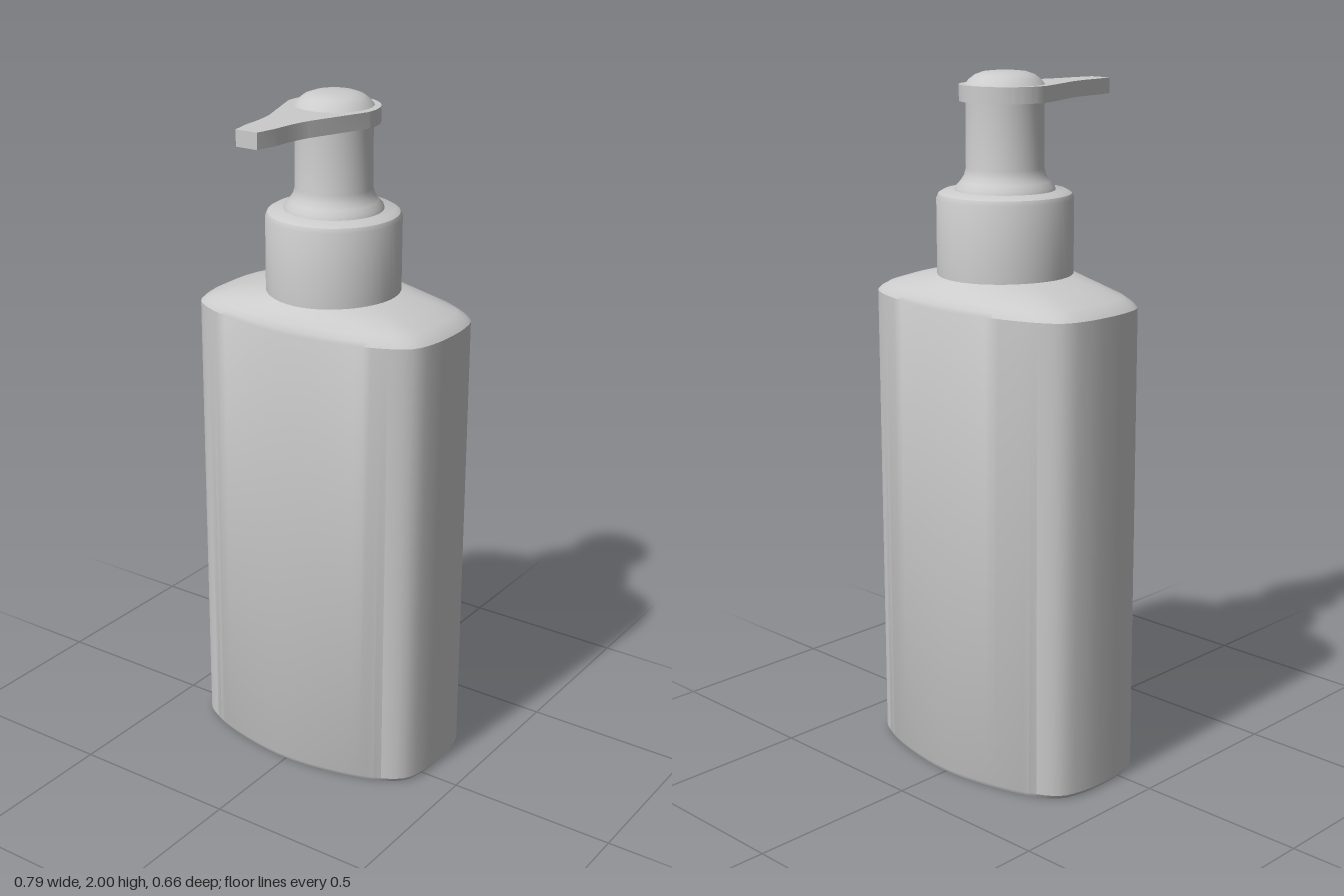
import * as THREE from 'three';
import { toCreasedNormals } from 'three/addons/utils/BufferGeometryUtils.js';

const AXIS_X = 0.007, AXIS_Z = -0.066; // pump axis
const BODY_Z = -0.077;                 // bottle centre

function createMesh(name, geometry, crease = 0.5) {
  const material = new THREE.MeshStandardMaterial({ color: 0xcccccc });
  const mesh = new THREE.Mesh(toCreasedNormals(geometry, crease), material);
  mesh.name = name;
  return mesh;
}

// Rounded bottle outline, mirrored from one quarter
function bodyOutline(count) {
  const q = [[0.394, 0], [0.389, 0.077], [0.367, 0.146], [0.307, 0.19], [0.157, 0.235], [0, 0.253]];
  const half = [...q, ...q.slice(0, -1).reverse().map(([x, z]) => [-x, z])];
  const all = [...half, ...half.slice(1, -1).reverse().map(([x, z]) => [x, -z])];
  const curve = new THREE.CatmullRomCurve3(all.map(([x, z]) => new THREE.Vector3(x, 0, z)), true);
  return curve.getSpacedPoints(count).slice(0, count);
}

// Loft from the outline to the round neck; rows are [y, scale, blend to neck]
function bodyGeometry() {
  const count = 96, neckRadius = 0.185;
  const outline = bodyOutline(count);
  const rows = [[0, 0.978, 0], [0.012, 1, 0], [1.37, 1, 0], [1.382, 1, 0.06],
    [1.397, 1, 0.19], [1.418, 1, 0.5], [1.434, 1, 0.8], [1.442, 1, 1]];
  const positions = [], index = [];
  for (const [y, scale, blend] of rows) {
    for (const p of outline) {
      const angle = Math.atan2(p.z, p.x);
      const neckX = AXIS_X + neckRadius * Math.cos(angle);
      const neckZ = AXIS_Z + neckRadius * Math.sin(angle);
      positions.push(THREE.MathUtils.lerp(p.x * scale, neckX, blend), y,
        THREE.MathUtils.lerp(BODY_Z + p.z * scale, neckZ, blend));
    }
  }
  for (let j = 0; j < rows.length - 1; j++) {
    for (let i = 0; i < count; i++) {
      const a = j * count + i, b = j * count + (i + 1) % count;
      index.push(a, a + count, b, b, a + count, b + count);
    }
  }
  // Base
  const centre = positions.length / 3;
  positions.push(0, 0, BODY_Z);
  for (let i = 0; i < count; i++) index.push(centre, i, (i + 1) % count);
  const geometry = new THREE.BufferGeometry();
  geometry.setAttribute('position', new THREE.Float32BufferAttribute(positions, 3));
  geometry.setIndex(index);
  return geometry;
}

function turned(name, profile) {
  const points = profile.map(([r, y]) => new THREE.Vector2(r, y));
  const mesh = createMesh(name, new THREE.LatheGeometry(points, 48));
  mesh.position.set(AXIS_X, 0, AXIS_Z);
  return mesh;
}

// Flat lever: round at the pump, narrowing to the spout tip
function leverGeometry() {
  const z0 = -0.057, r = 0.133, t = 0.2;
  const shape = new THREE.Shape();
  shape.absarc(AXIS_X, z0, r, t, Math.PI - t, true);
  shape.lineTo(AXIS_X - 0.066, 0.14);
  shape.quadraticCurveTo(AXIS_X - 0.05, 0.19, AXIS_X - 0.047, 0.265);
  shape.lineTo(AXIS_X - 0.034, 0.33);
  shape.lineTo(AXIS_X + 0.034, 0.33);
  shape.lineTo(AXIS_X + 0.047, 0.265);
  shape.quadraticCurveTo(AXIS_X + 0.05, 0.19, AXIS_X + 0.066, 0.14);
  shape.closePath();
  const geometry = new THREE.ExtrudeGeometry(shape, { depth: 0.045, bevelEnabled: false, curveSegments: 28 });
  return geometry.rotateX(Math.PI / 2).translate(0, 1.962, 0);
}

export function createModel() {
  const group = new THREE.Group();
  group.name = 'pumpBottle';
  group.add(createMesh('bottleBody', bodyGeometry()));
  group.add(turned('collar', [[0, 1.43], [0.192, 1.43], [0.192, 1.652], [0.186, 1.665], [0.172, 1.673], [0, 1.68]]));
  group.add(turned('pumpStem', [[0.142, 1.67], [0.138, 1.684], [0.125, 1.698], [0.114, 1.715],
    [0.109, 1.735], [0.108, 1.93]]));
  group.add(createMesh('lever', leverGeometry()));
  group.add(turned('topDome', [[0.11, 1.95], [0.11, 1.962], [0.1, 1.975], [0.083, 1.988],
    [0.06, 1.996], [0.03, 1.999], [0, 2]]));
  return group;
}
